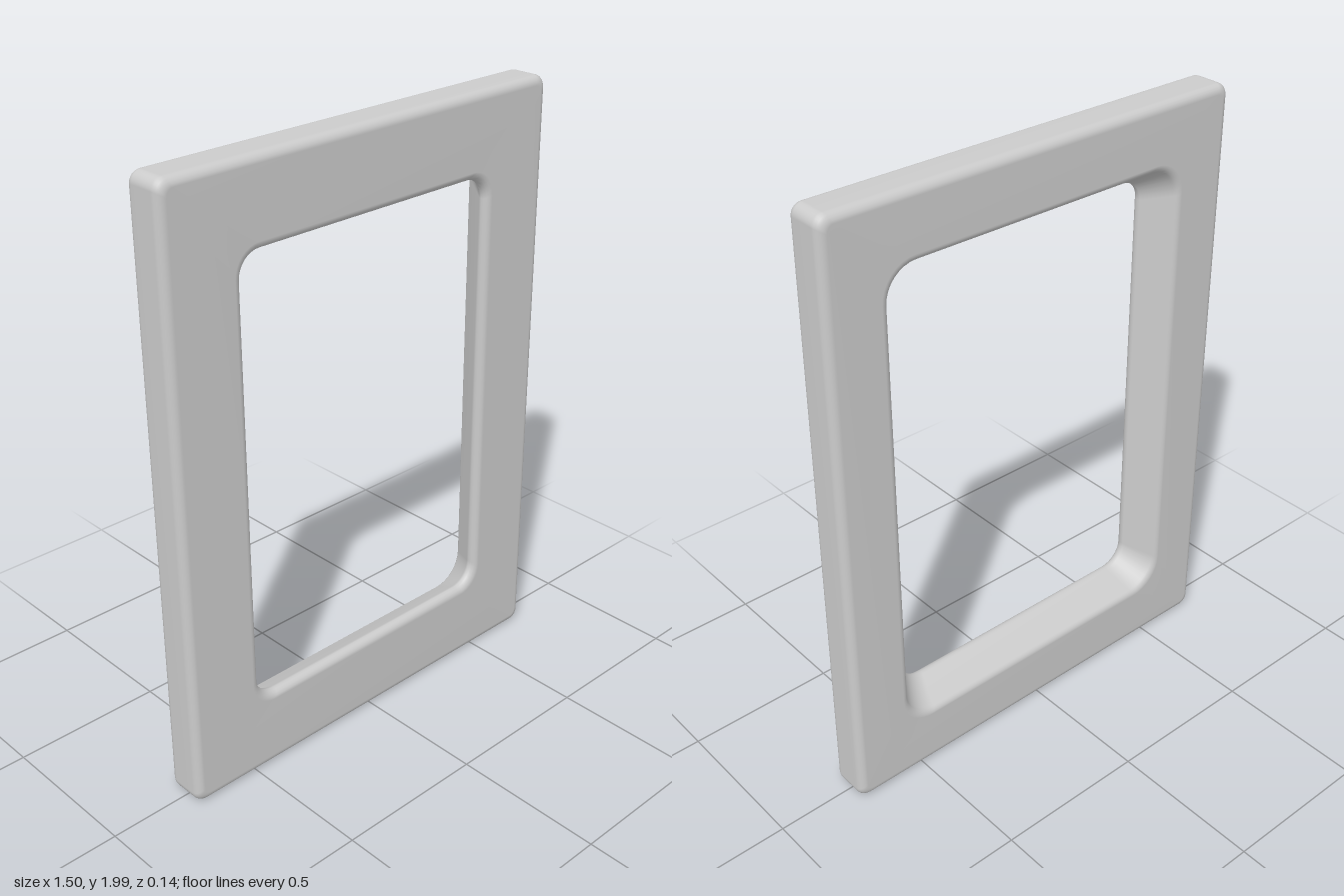
import * as THREE from 'three';

const CORNER_STEPS = 8;

// One rounded-rectangle ring of points, counter-clockwise seen from the front
function ring(halfW, halfH, radius, z) {
  const points = [];
  const corners = [[1, 1], [-1, 1], [-1, -1], [1, -1]];
  corners.forEach(([sx, sy], q) => {
    for (let i = 0; i <= CORNER_STEPS; i++) {
      const a = (q + i / CORNER_STEPS) * Math.PI / 2;
      points.push([
        sx * (halfW - radius) + radius * Math.cos(a),
        sy * (halfH - radius) + radius * Math.sin(a),
        z,
      ]);
    }
  });
  return points;
}

// Quarter-round edge of the bar's cross-section: [offset, z] pairs
function edge(cx, cz, radius, from, to, steps = 5) {
  return Array.from({ length: steps + 1 }, (_, i) => {
    const a = THREE.MathUtils.degToRad(from + (to - from) * i / steps);
    return [cx + radius * Math.cos(a), cz + radius * Math.sin(a)];
  });
}

function frameGeometry() {
  const outer = { w: 0.742, h: 0.994 };
  const hole = { w: 0.484, h: 0.728 };
  const depth = 0.068;

  // Outer rim: soft edges, offsets measured outward from the rim
  const rim = [
    ...edge(-0.028, -depth + 0.028, 0.028, -90, 0),
    ...edge(-0.028, depth - 0.028, 0.028, 0, 90),
  ].map(([o, z]) => ring(outer.w + o, outer.h + o, 0.035 + o * 0.4, z));

  // Opening: narrow at the front, flaring toward the back
  const opening = [
    ...edge(0.025, depth - 0.025, 0.025, 90, 200),
    ...edge(0.078, -depth + 0.025, 0.025, 200, 270),
  ].map(([o, z]) => ring(hole.w + o, hole.h + o, 0.075 + o * 0.5, z));

  const rings = [...rim, ...opening];
  const n = rings[0].length;
  const positions = [];
  for (const [x, y, z] of rings.flat()) {
    // slight hand-made skew
    const py = y + 1;
    positions.push(x - 0.006 * y, py + 0.0045 * x * py, z);
  }

  // Join the rings into a closed loop
  const index = [];
  for (let r = 0; r < rings.length; r++) {
    const s = (r + 1) % rings.length;
    for (let i = 0; i < n; i++) {
      const j = (i + 1) % n;
      const a = r * n + i, b = r * n + j, c = s * n + j, d = s * n + i;
      index.push(a, b, c, a, c, d);
    }
  }
  const geometry = new THREE.BufferGeometry();
  geometry.setAttribute('position', new THREE.Float32BufferAttribute(positions, 3));
  geometry.setIndex(index);
  geometry.computeVertexNormals();
  return geometry;
}

export function createModel() {
  const group = new THREE.Group();
  group.name = 'rectangularFrame';
  const material = new THREE.MeshStandardMaterial({ color: 0xcccccc });
  const frame = new THREE.Mesh(frameGeometry(), material);
  frame.name = 'frame';
  group.add(frame);
  return group;
}
